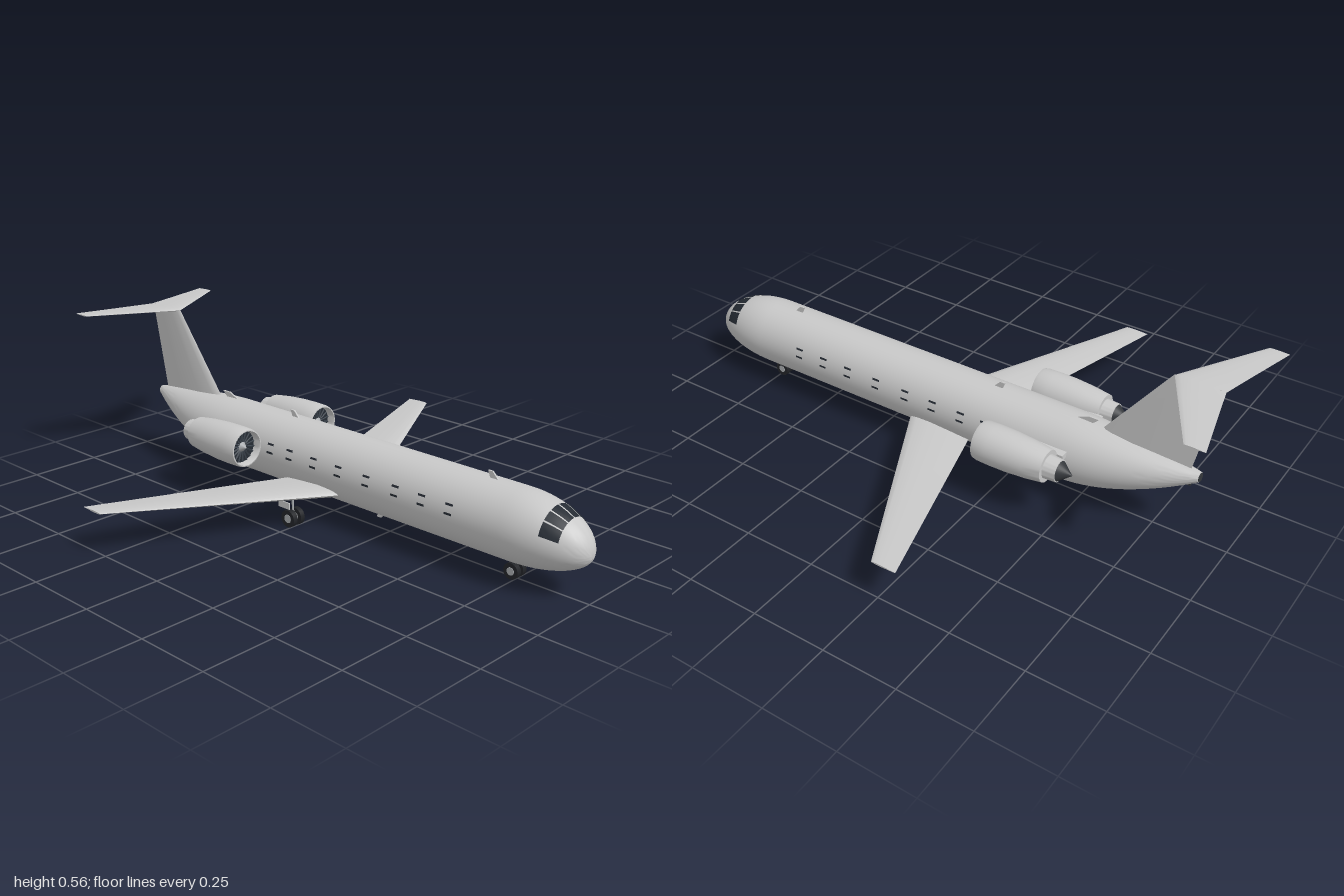
import * as THREE from 'three';
import { toCreasedNormals } from 'three/addons/utils/BufferGeometryUtils.js';

const mat = (name, color, side = THREE.FrontSide) => {
  const m = new THREE.MeshStandardMaterial({ color, side });
  m.name = name;
  return m;
};

// Skin through a list of rings; optional closing around and end caps
function loft(rings, closed = true, caps = true) {
  const n = rings[0].length, pos = rings.flat(2), index = [];
  for (let i = 0; i < rings.length - 1; i++) {
    for (let j = 0; j < (closed ? n : n - 1); j++) {
      const k = (j + 1) % n;
      const a = i * n + j, b = i * n + k, c = b + n, d = a + n;
      index.push(a, b, c, a, c, d);
    }
  }
  if (caps) {
    const last = (rings.length - 1) * n;
    for (let j = 1; j < n - 1; j++) index.push(0, j + 1, j, last, last + j, last + j + 1);
  }
  const g = new THREE.BufferGeometry();
  g.setAttribute('position', new THREE.Float32BufferAttribute(pos, 3));
  g.setIndex(index);
  return toCreasedNormals(g, 0.6);
}

// Fuselage half width, bottom and top at a station z
function section(z) {
  if (z > 0.75) {
    const t = (1 - z) / 0.25, s = Math.sqrt(Math.max(0, 1 - (1 - t) ** 2));
    return [0.112 * s, 0.147 - 0.087 * s, 0.147 + 0.142 * s];
  }
  const u = Math.max(0, (-z - 0.45) / 0.435);
  return [0.112 - 0.095 * u ** 1.9, 0.06 + 0.16 * u ** 1.7, 0.289 - 0.037 * u ** 1.6];
}

// Point on the fuselage skin; angle 0 is the top, positive towards +x
function skin(z, a, k = 1) {
  const [w, lo, hi] = section(z);
  return [w * k * Math.sin(a), (lo + hi) / 2 + ((hi - lo) / 2) * k * Math.cos(a), z];
}

// Thin curved plate lying on the fuselage
function skinPatch(z0, z1, a0, a1, k) {
  const rings = [];
  for (let i = 0; i <= 4; i++) {
    const ring = [];
    for (let j = 0; j <= 4; j++) ring.push(skin(z0 + (z1 - z0) * i / 4, a0 + (a1 - a0) * j / 4, k));
    rings.push(ring);
  }
  return loft(rings, false, false);
}

// Airfoil loop as chord fraction and relative thickness
const FOIL = [[0, 0], [0.03, 0.45], [0.12, 0.8], [0.35, 1], [0.7, 0.55], [1, 0.04],
  [1, -0.04], [0.7, -0.55], [0.35, -1], [0.12, -0.8], [0.03, -0.45]];

// Both halves of a wing; stations [x, y, leading z, trailing z, half thickness], tip first
function wing(stations) {
  const mirrored = stations.slice().reverse().filter(s => s[0] > 0).map(([x, ...r]) => [-x, ...r]);
  return loft([...stations, ...mirrored].map(([x, y, le, te, h]) =>
    FOIL.map(([c, t]) => [x, y + t * h, le + (te - le) * c])));
}

export function createModel() {
  const model = new THREE.Group();
  model.name = 'airliner';
  const paint = mat('light grey paint', 0xc8c8c8);
  const glass = mat('dark glass', 0x252b33, THREE.DoubleSide);
  const fanMetal = mat('fan metal', 0x3a424b);
  const exhaust = mat('dark exhaust', 0x34373b);
  const rubber = mat('tyre rubber', 0x222428);
  const steel = mat('steel', 0xa8abae);

  const add = (name, geo, material, x = 0, y = 0, z = 0, parent = model) => {
    const m = new THREE.Mesh(geo, material);
    m.name = name;
    m.position.set(x, y, z);
    parent.add(m);
    return m;
  };

  // Fuselage
  const stations = [];
  for (let i = 0; i <= 18; i++) stations.push(0.75 + 0.25 * Math.cos(i / 18 * Math.PI / 2) - 1e-5);
  stations.push(0.3, -0.1);
  for (let i = 0; i <= 16; i++) stations.push(-0.45 - 0.435 * i / 16);
  add('fuselage', loft(stations.map(z =>
    Array.from({ length: 48 }, (_, j) => skin(z, j / 48 * Math.PI * 2)))), paint);
  const outlet = new THREE.CylinderGeometry(0.014, 0.014, 0.008, 20).rotateX(Math.PI / 2);
  add('tailOutlet', outlet, exhaust, 0, 0.236, -0.884);
  add('tailSkid', new THREE.BoxGeometry(0.008, 0.016, 0.02), exhaust, 0, 0.202, -0.85);

  // Cockpit panes
  const panes = [[0.03, 0.37], [0.42, 0.76], [0.81, 1.25]];
  for (const s of [-1, 1]) {
    for (const [a, b] of panes) {
      const lo = Math.min(s * a, s * b), hi = Math.max(s * a, s * b);
      add('cockpitPane', skinPatch(0.932, 0.877, lo, hi, 1.02), glass);
    }
    // Two rows of cabin windows
    for (const z of [0.57, 0.465, 0.36, 0.24, 0.12, 0.01, -0.1, -0.19]) {
      for (const a of [1.22, 1.47]) {
        add('cabinWindow', skinPatch(z + 0.014, z - 0.014, s * a - 0.03, s * a + 0.03, 1.012), glass);
      }
    }
  }

  // Wings and T-tail
  add('wings', wing([
    [0.765, 0.146, -0.243, -0.328, 0.003],
    [0.11, 0.112, 0.1, -0.128, 0.015],
    [0.04, 0.109, 0.135, -0.107, 0.016]]), paint);
  add('tailplane', wing([
    [0.288, 0.556, -0.935, -1, 0.002],
    [0.09, 0.556, -0.82, -0.95, 0.004],
    [0, 0.556, -0.768, -0.928, 0.007]]), paint);
  const fin = [[0.558, -0.768, -0.918, 0.007], [0.28, -0.555, -0.86, 0.014], [0.24, -0.53, -0.852, 0.014]];
  add('fin', loft(fin.map(([y, le, te, h]) =>
    FOIL.map(([c, t]) => [-t * h, y, le + (te - le) * c]))), paint);

  // Engines: nacelle with inlet duct, fan, spinner, exhaust cone and pylon
  const profile = [[0.001, -0.512], [0.036, -0.512], [0.039, -0.47], [0.053, -0.47], [0.061, -0.41],
    [0.066, -0.34], [0.067, -0.28], [0.066, -0.24], [0.063, -0.228], [0.059, -0.227],
    [0.056, -0.235], [0.055, -0.265]].map(p => new THREE.Vector2(...p));
  const nacelleGeo = toCreasedNormals(new THREE.LatheGeometry(profile, 36), 0.7).rotateX(Math.PI / 2);
  const fanGeo = new THREE.CircleGeometry(0.056, 36);
  const bladeGeo = new THREE.BoxGeometry(0.005, 0.036, 0.004).rotateY(0.5).translate(0, 0.035, 0);
  const spinnerGeo = new THREE.ConeGeometry(0.018, 0.024, 24).rotateX(Math.PI / 2);
  const coneGeo = new THREE.ConeGeometry(0.034, 0.044, 28).rotateX(-Math.PI / 2);
  for (const s of [-1, 1]) {
    const engine = new THREE.Group();
    engine.name = s > 0 ? 'leftEngine' : 'rightEngine';
    engine.position.set(s * 0.178, 0.209, 0);
    model.add(engine);
    add('nacelle', nacelleGeo, paint, 0, 0, 0, engine);
    add('fanDisc', fanGeo, glass, 0, 0, -0.256, engine);
    for (let i = 0; i < 18; i++) {
      add('fanBlade', bladeGeo, fanMetal, 0, 0, -0.252, engine).rotation.z = i / 18 * Math.PI * 2;
    }
    add('spinner', spinnerGeo, steel, 0, 0, -0.243, engine);
    add('exhaustCone', coneGeo, exhaust, 0, 0, -0.533, engine);
    add('pylon', new THREE.BoxGeometry(0.05, 0.018, 0.23), paint, -s * 0.075, 0.005, -0.375, engine);
  }

  // Landing gear
  function wheelPair(name, x, z, r, gap, top) {
    const gear = new THREE.Group();
    gear.name = name;
    gear.position.set(x, r, z);
    model.add(gear);
    const tyre = new THREE.CylinderGeometry(r, r, 0.017, 24).rotateZ(Math.PI / 2);
    const hub = new THREE.CylinderGeometry(r * 0.5, r * 0.5, 0.019, 20).rotateZ(Math.PI / 2);
    for (const s of [-1, 1]) {
      add('tyre', tyre, rubber, s * gap, 0, 0, gear);
      add('hub', hub, steel, s * gap, 0, 0, gear);
    }
    add('axle', new THREE.CylinderGeometry(0.004, 0.004, gap * 2, 10).rotateZ(Math.PI / 2), steel, 0, 0, 0, gear);
    add('strut', new THREE.CylinderGeometry(0.004, 0.004, top - r, 10), steel, 0, (top - r) / 2, 0, gear);
  }
  wheelPair('noseGear', 0, 0.74, 0.026, 0.014, 0.08);
  for (const s of [-1, 1]) {
    wheelPair('mainGear', s * 0.181, -0.01, 0.029, 0.016, 0.115);
    add('gearDoor', new THREE.BoxGeometry(0.004, 0.022, 0.05), paint, s * 0.22, 0.083, -0.01);
  }

  // Blade antennas: [base y, z, chord, height]
  for (const [y, z, c, h] of [[0.285, 0.655, 0.03, 0.025], [0.285, -0.175, 0.03, 0.025],
    [0.285, -0.49, 0.06, 0.02], [0.064, 0.22, 0.03, -0.028]]) {
    const shape = new THREE.Shape([[-0.5, 0], [0.5, 0], [0.85, 1], [0.3, 1]]
      .map(([u, v]) => new THREE.Vector2(u * c, v * h)));
    const geo = new THREE.ExtrudeGeometry(shape, { depth: 0.006, bevelEnabled: false });
    add('antenna', geo.translate(0, 0, -0.003).rotateY(Math.PI / 2), paint, 0, y, z);
  }
  return model;
}
